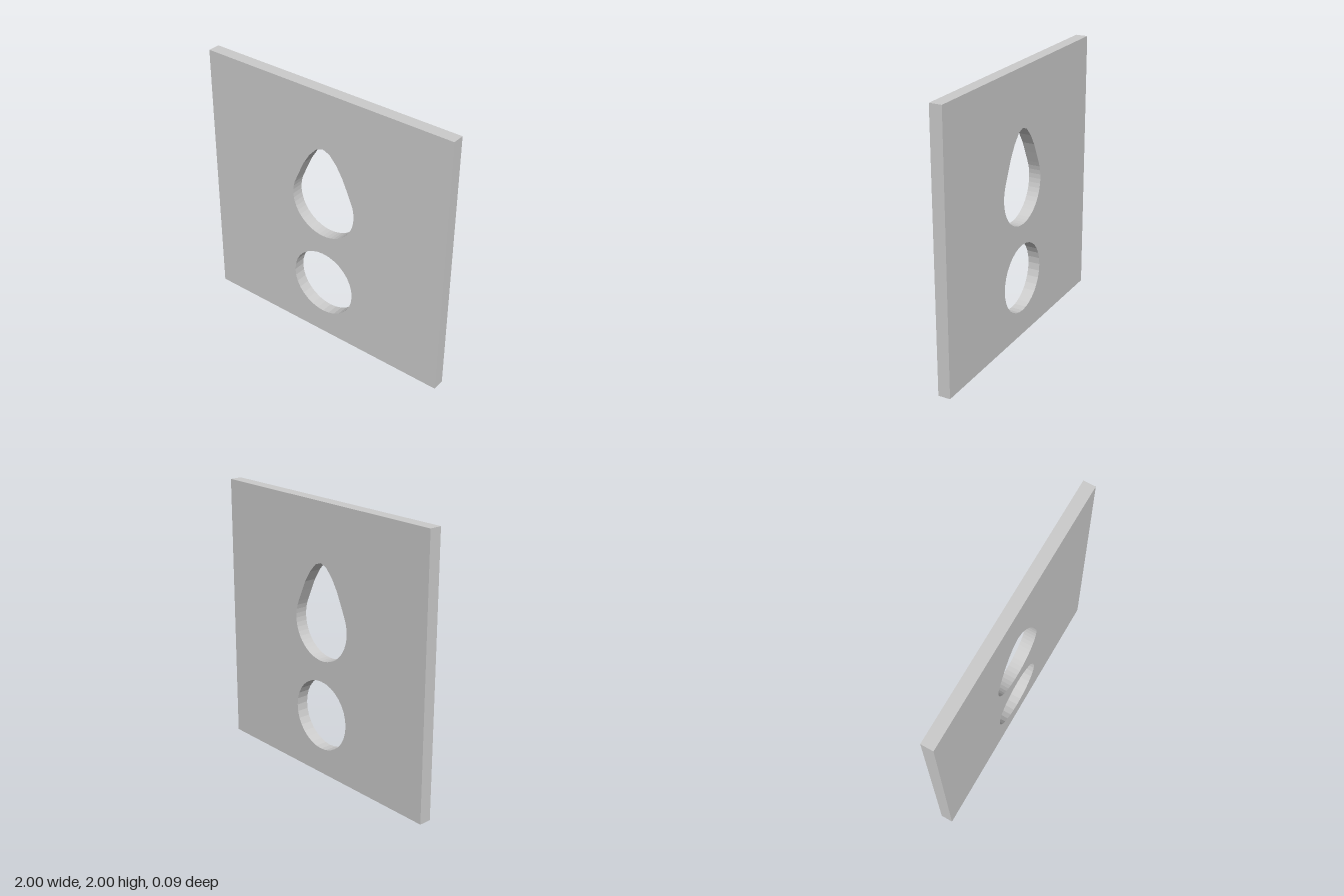
import * as THREE from 'three';

const DEPTH = 0.09;

// Round opening below the drop
function circleHole(y, r) {
  return new THREE.Path().absarc(0, y, r, 0, Math.PI * 2, true);
}

// Drop opening: a round bowl with mirrored flanks rising to a blunt tip
function dropHole(y, r) {
  const flank = [[0.2, 1.335], [0.165, 1.41], [0.115, 1.49], [0.055, 1.555]];
  const shoulder = THREE.MathUtils.degToRad(26);
  const path = new THREE.Path();
  path.moveTo(0, 1.575);
  [...flank].reverse().forEach(([px, py]) => path.lineTo(px, py));
  path.absarc(0, y, r, shoulder, -Math.PI - shoulder, true);
  flank.forEach(([px, py]) => path.lineTo(-px, py));
  path.closePath();
  return path;
}

export function createModel() {
  const group = new THREE.Group();
  group.name = 'stencilPlate';

  // Square plate with both openings cut through
  const outline = new THREE.Shape();
  outline.moveTo(-1, 0);
  outline.lineTo(1, 0);
  outline.lineTo(1, 2);
  outline.lineTo(-1, 2);
  outline.closePath();
  outline.holes.push(circleHole(0.452, 0.26), dropHole(1.133, 0.265));

  const geometry = new THREE.ExtrudeGeometry(outline, {
    depth: DEPTH, bevelEnabled: false, curveSegments: 16,
  });
  geometry.translate(0, 0, -DEPTH / 2);

  const plate = new THREE.Mesh(
    geometry,
    new THREE.MeshStandardMaterial({ color: 0xcccccc, flatShading: true }),
  );
  plate.name = 'plate';
  group.add(plate);
  return group;
}
